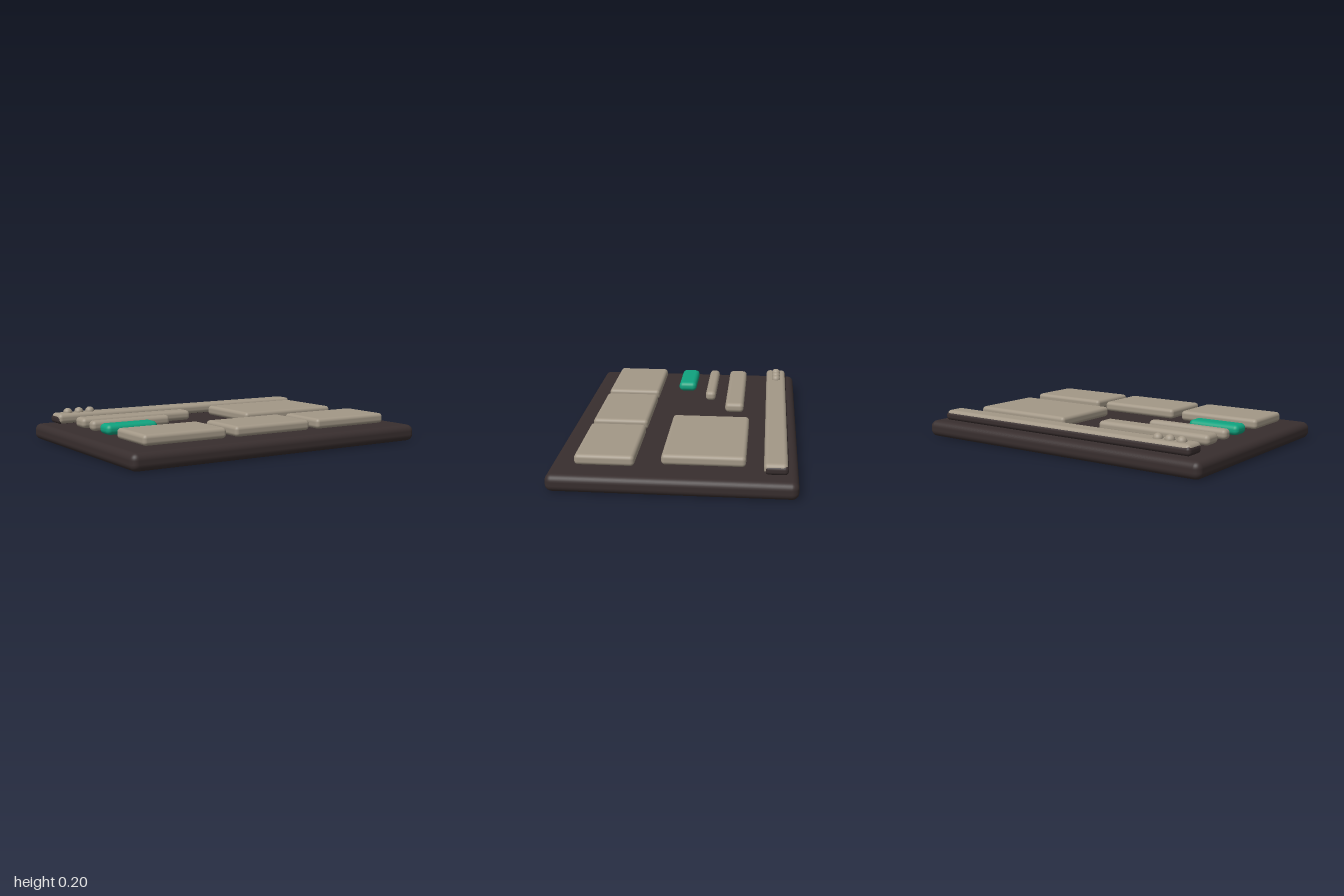
import * as THREE from 'three';
import { RoundedBoxGeometry } from 'three/addons/geometries/RoundedBoxGeometry.js';

const material = (name, color) => {
  const m = new THREE.MeshStandardMaterial({ color });
  m.name = name;
  return m;
};

export function createModel() {
  const model = new THREE.Group();
  model.name = 'pageLayoutPanel';
  const dark = material('dark brown', 0x382e2e);
  const tan = material('warm grey', 0xa39887);
  const green = material('green', 0x10a37f);

  // Rounded slab given by its extents on each axis
  const slab = (name, mat, [x0, x1], [y0, y1], [z0, z1], radius) => {
    const mesh = new THREE.Mesh(
      new RoundedBoxGeometry(x1 - x0, y1 - y0, z1 - z0, 4, radius), mat);
    mesh.position.set((x0 + x1) / 2, (y0 + y1) / 2, (z0 + z1) / 2);
    mesh.name = name;
    model.add(mesh);
  };
  const raised = [0.116, 0.178];

  // Base board
  slab('base', dark, [-1, 1], [0.008, 0.109], [-0.69, 0.69], 0.04);

  // Header bar: light top and front, dark ends and back
  slab('headerBar', tan, [-0.904, 0.902], raised, [-0.629, -0.498], 0.025);
  slab('headerTrim', dark, [-0.908, 0.906], [0.115, 0.168], [-0.633, -0.504], 0.022);

  // Three round buttons on the header
  for (const x of [-0.818, -0.742, -0.666]) {
    const dot = new THREE.Mesh(new THREE.SphereGeometry(0.029, 24, 16), tan);
    dot.position.set(x, 0.179, -0.565);
    dot.name = 'headerDot';
    model.add(dot);
  }

  // Heading lines, action button and picture block
  slab('titleLine', tan, [-0.86, -0.1], raised, [-0.357, -0.238], 0.025);
  slab('subtitleLine', tan, [-0.86, -0.33], raised, [-0.163, -0.096], 0.025);
  slab('actionButton', green, [-0.857, -0.522], raised, [-0.018, 0.1], 0.028);
  slab('pictureBlock', tan, [0.13, 0.816], raised, [-0.4, 0.07], 0.022);

  // Row of cards
  for (const x of [-0.593, 0, 0.59]) {
    slab('card', tan, [x - 0.266, x + 0.266], raised, [0.214, 0.55], 0.022);
  }
  return model;
}
